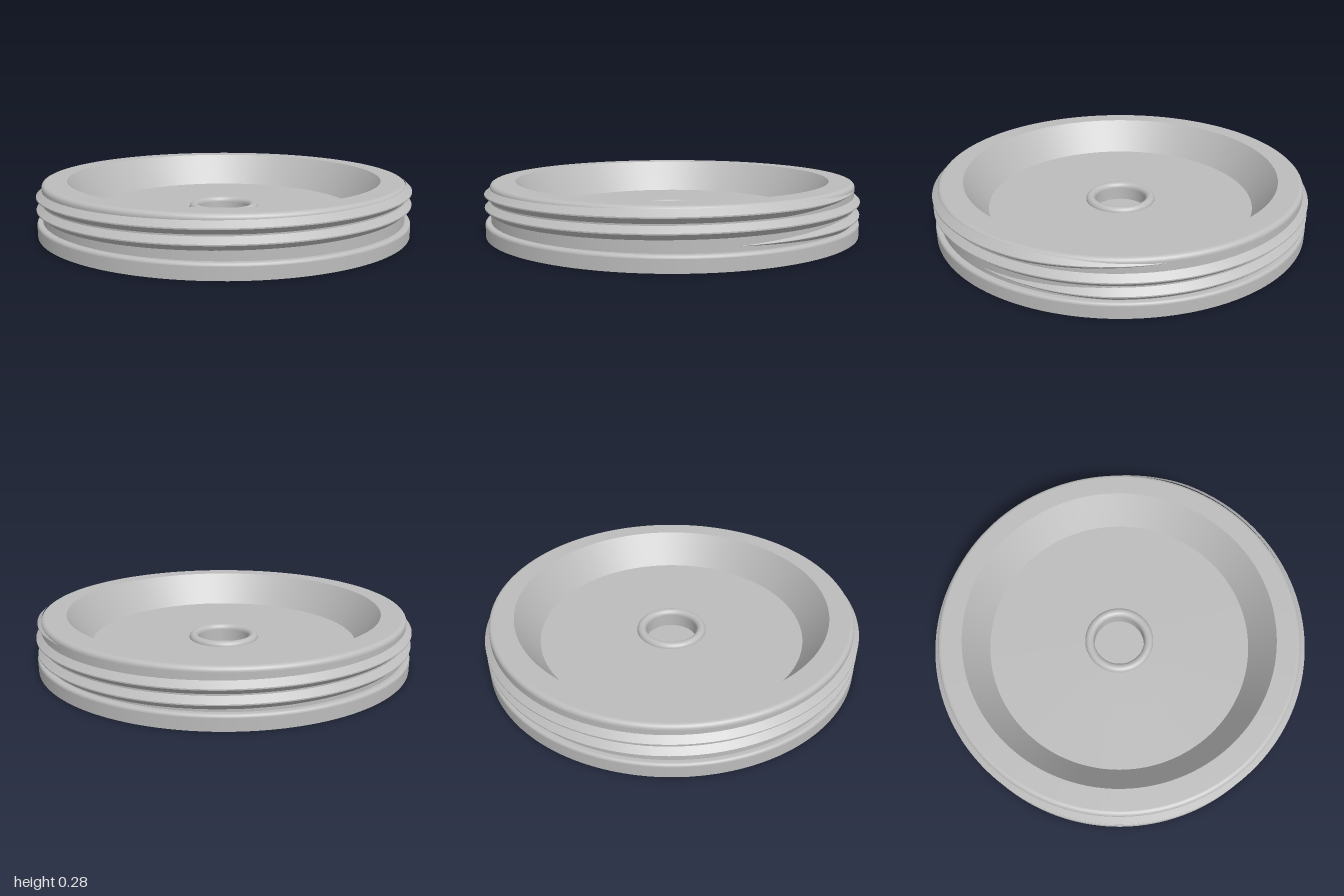
import * as THREE from 'three';

export function createModel() {
  const model = new THREE.Group();
  model.name = 'threadedCap';
  const grey = new THREE.MeshStandardMaterial({ color: 0xbcbcbc });
  grey.name = 'plain grey';

  const add = (name, geometry, parent = model) => {
    const mesh = new THREE.Mesh(geometry, grey);
    mesh.name = name;
    parent.add(mesh);
    return mesh;
  };
  const turned = (name, points) =>
    add(name, new THREE.LatheGeometry(points.map(([r, y]) => new THREE.Vector2(r, y)), 128));
  // Arc in the profile plane, angles in degrees
  const arc = (cr, cy, rad, from, to, n = 8) => Array.from({ length: n + 1 }, (_, i) => {
    const a = THREE.MathUtils.degToRad(from + (to - from) * i / n);
    return [cr + rad * Math.cos(a), cy + rad * Math.sin(a)];
  });

  // Turned body, from the bottom edge up over the rim and into the recess
  turned('baseFlange', [[1, 0], [1, 0.062]]);
  turned('flangeShoulder', [...arc(0.986, 0.062, 0.014, 0, 90, 4), [0.97, 0.076]]);
  turned('threadCore', [[0.97, 0.076], [0.97, 0.252]]);
  turned('rimRounding', arc(0.947, 0.252, 0.023, 0, 90));
  turned('rimTop', [[0.947, 0.275], [0.84, 0.275]]);
  turned('recessWall', [[0.84, 0.275], [0.72, 0.1]]);
  turned('recessFloor', [[0.72, 0.1], [0.19, 0.1]]);
  turned('centreLip', arc(0.165, 0.1, 0.025, 0, 180, 12));
  turned('centreHoleWall', [[0.14, 0.1], [0.14, 0.03]]);
  turned('centreHoleFloor', [[0.14, 0.03], [0, 0.03]]);

  // Right-handed screw thread: a V ridge swept up a helix, fading out at both ends
  const pitch = 0.068, start = -0.5, end = 4 * Math.PI + 0.5, steps = 320;
  const positions = [], index = [];
  const section = [[0, -0.032], [1, -0.003], [1, -0.003], [1, 0.003], [1, 0.003], [0, 0.032]];
  for (let i = 0; i <= steps; i++) {
    const t = start + (end - start) * i / steps;
    const fade = Math.min(1, (t - start) / 0.7, (end - t) / 0.7);
    const y = 0.104 + pitch * t / (2 * Math.PI);
    for (const [out, dy] of section) {
      const r = 0.968 + out * 0.032 * fade;
      positions.push(r * Math.cos(t), y + dy * fade, -r * Math.sin(t));
    }
    if (i < steps) {
      for (const s of [0, 2, 4]) {
        const p = i * 6 + s, q = p + 1, pn = p + 6, qn = q + 6;
        index.push(p, pn, q, q, pn, qn);
      }
    }
  }
  const thread = new THREE.BufferGeometry();
  thread.setAttribute('position', new THREE.Float32BufferAttribute(positions, 3));
  thread.setIndex(index);
  thread.computeVertexNormals();
  add('screwThread', thread);

  // Underside with six oval finger grips
  const ring = 0.66, long = 0.255, wide = 0.2, depth = 0.088;
  const underside = new THREE.Shape().absarc(0, 0, 1, 0, Math.PI * 2);
  for (let k = 0; k < 6; k++) {
    const a = k * Math.PI / 3;
    const hole = new THREE.Path();
    hole.absellipse(ring * Math.cos(a), ring * Math.sin(a), long, wide, 0, Math.PI * 2, true, a);
    underside.holes.push(hole);

    const grip = new THREE.Group();
    grip.name = 'fingerGrip' + (k + 1);
    grip.position.set(ring * Math.cos(a), 0, ring * Math.sin(a));
    grip.rotation.y = -a;
    model.add(grip);
    // Domed hollow facing down
    const dome = arc(0, 0, 1, 90, 0, 16).map(([r, y]) => new THREE.Vector2(Math.max(r, 0), y));
    add('gripHollow', new THREE.LatheGeometry(dome, 48).scale(long, depth, wide), grip);
    // Bar across the hollow, flush with the underside
    add('gripBar', new THREE.BoxGeometry(0.504, 0.084, 0.056).translate(0, 0.042, 0), grip);
  }
  add('underside', new THREE.ShapeGeometry(underside, 64).rotateX(Math.PI / 2));

  return model;
}
